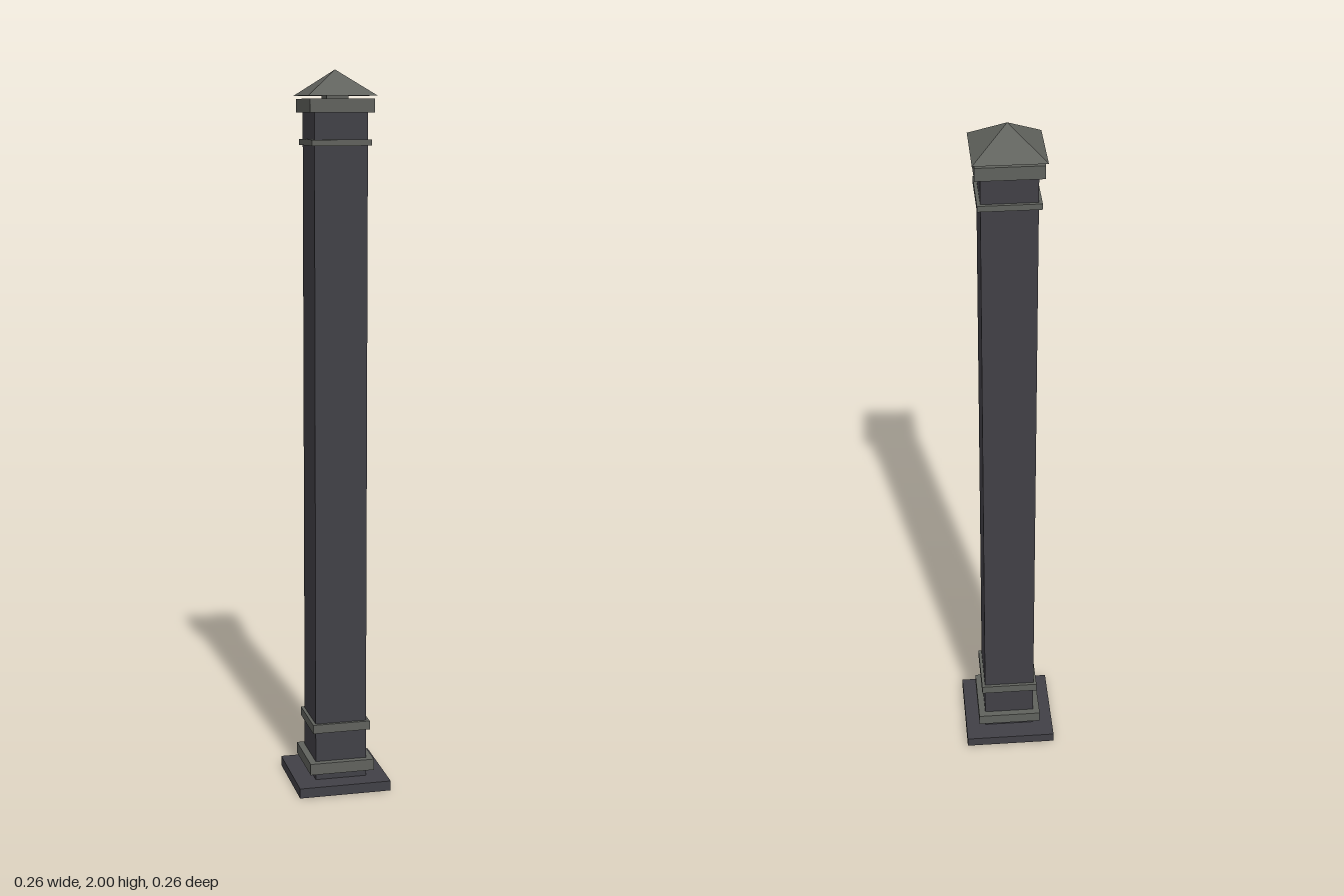
import * as THREE from 'three';

export function createModel() {
  const post = new THREE.Group();
  post.name = 'squarePost';

  const charcoal = new THREE.MeshStandardMaterial({ color: 0x414046 });
  charcoal.name = 'charcoal';
  const grey = new THREE.MeshStandardMaterial({ color: 0x60625d });
  grey.name = 'grey';

  // Square block between two heights
  function block(name, width, bottom, top, material) {
    const mesh = new THREE.Mesh(new THREE.BoxGeometry(width, top - bottom, width), material);
    mesh.position.y = (bottom + top) / 2;
    mesh.name = name;
    post.add(mesh);
  }

  // Foot plate and shaft
  block('basePlate', 0.262, 0, 0.028, charcoal);
  block('shaft', 0.146, 0.028, 1.9, charcoal);

  // Trim bands around the shaft
  block('footCollar', 0.184, 0.05, 0.082, grey);
  block('lowerBand', 0.164, 0.168, 0.193, grey);
  block('upperBand', 0.164, 1.8, 1.816, grey);
  block('capCollar', 0.176, 1.887, 1.923, grey);

  // Narrow neck in the shadow gap under the cap
  block('capNeck', 0.06, 1.92, 1.935, grey);

  // Four-sided pyramid cap, turned so its sides face the axes
  const capWidth = 0.188, capBottom = 1.931;
  const capGeometry = new THREE.ConeGeometry(capWidth / Math.SQRT2, 2 - capBottom, 4).toNonIndexed();
  capGeometry.rotateY(Math.PI / 4);
  capGeometry.computeVertexNormals();
  const cap = new THREE.Mesh(capGeometry, grey);
  cap.position.y = (2 + capBottom) / 2;
  cap.name = 'pyramidCap';
  post.add(cap);

  return post;
}
